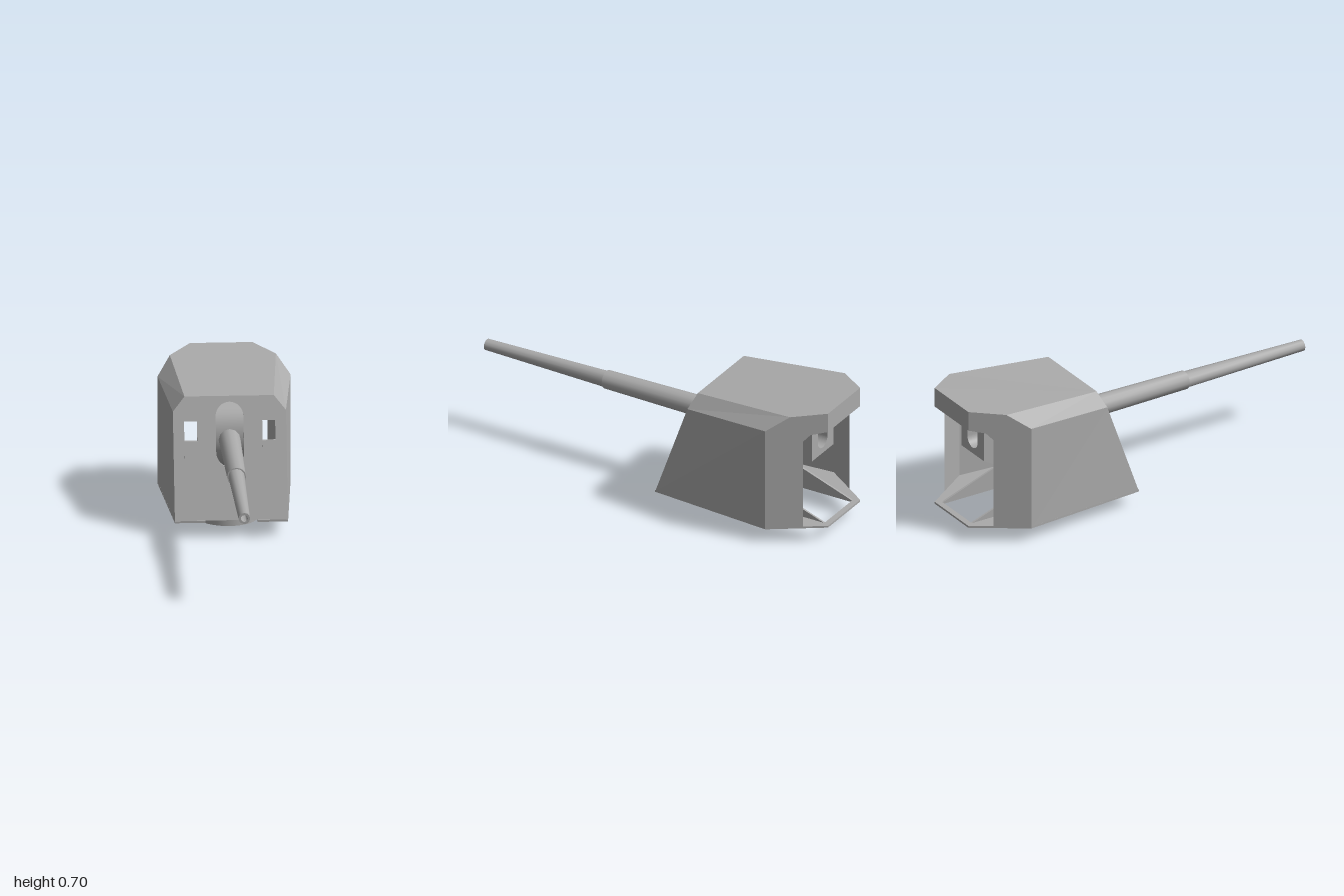
import * as THREE from 'three';
import { toCreasedNormals } from 'three/addons/utils/BufferGeometryUtils.js';

const steel = new THREE.MeshStandardMaterial({ color: 0xaaaaaa, side: THREE.DoubleSide });
steel.name = 'steel grey';

const frontZ = y => -0.105 - (y - 0.075) * 0.358; // sloped front plate
const cheekX = z => 0.32 + (z + 0.75) * 0.68;     // angled rear cheeks
const BORE_Y = 0.44;

const shapeOf = pts => new THREE.Shape(pts.map(p => new THREE.Vector2(p[0], p[1])));
const extrude = (shape, depth) =>
  new THREE.ExtrudeGeometry(shape, { depth, bevelEnabled: false, curveSegments: 16 });

// Move every vertex by a rule, then refresh the normals
function warp(geometry, rule) {
  const p = geometry.attributes.position;
  const v = new THREE.Vector3();
  for (let i = 0; i < p.count; i++) {
    rule(v.fromBufferAttribute(p, i));
    p.setXYZ(i, v.x, v.y, v.z);
  }
  geometry.computeVertexNormals();
  return geometry;
}

// Flat convex panel from its corners
function panel(corners) {
  const pos = [];
  for (let i = 1; i < corners.length - 1; i++) pos.push(...corners[0], ...corners[i], ...corners[i + 1]);
  const g = new THREE.BufferGeometry();
  g.setAttribute('position', new THREE.Float32BufferAttribute(pos, 3));
  g.computeVertexNormals();
  return g;
}

const lathe = (pts, sides) => toCreasedNormals(
  new THREE.LatheGeometry(pts.map(p => new THREE.Vector2(p[0], p[1])), sides), 0.6);

export function createModel() {
  const group = new THREE.Group();
  const add = (name, geometry, x = 0, y = 0, z = 0) => {
    const mesh = new THREE.Mesh(geometry, steel);
    mesh.name = name;
    mesh.position.set(x, y, z);
    group.add(mesh);
    return mesh;
  };

  // Front plate with a gun slot and two sight windows
  const front = shapeOf([
    [-0.272, 0.075], [-0.125, 0.075], [-0.125, 0.085], [0.125, 0.085], [0.125, 0.075], [0.272, 0.075],
    [0.272, 0.58], [0.215, 0.648], [-0.215, 0.648], [-0.272, 0.58]]);
  const slot = new THREE.Path();
  slot.absarc(0, 0.554, 0.067, 0, Math.PI, false);
  slot.absarc(0, 0.391, 0.067, Math.PI, Math.PI * 2, false);
  slot.closePath();
  front.holes.push(slot);
  for (const s of [-1, 1]) {
    front.holes.push(new THREE.Path([[0.157, 0.445], [0.219, 0.445], [0.219, 0.535], [0.157, 0.535]]
      .map(p => new THREE.Vector2(s * p[0], p[1]))));
  }
  add('frontPlate', warp(extrude(front, 0.01), v => { v.z += frontZ(v.y) - 0.01; }));

  // Roof and rear lintel
  add('roof', panel([
    [-0.215, 0.648, -0.31], [0.215, 0.648, -0.31], [0.255, 0.688, -0.85],
    [0.15, 0.7, -1], [-0.15, 0.7, -1], [-0.255, 0.688, -0.85]]));
  add('rearLintel', panel([[0.15, 0.6, -1], [-0.15, 0.6, -1], [-0.15, 0.7, -1], [0.15, 0.7, -1]]));

  for (const s of [-1, 1]) {
    const side = s > 0 ? 'left' : 'right';
    const mirrored = pts => {
      const q = pts.map(p => [s * p[0], p[1], p[2]]);
      return panel(s > 0 ? q : q.reverse());
    };
    add(side + 'Wall', mirrored([
      [0.272, 0.075, -0.105], [0.32, 0.075, -0.75], [0.32, 0.613, -0.75], [0.272, 0.58, -0.286]]));
    add(side + 'RoofChamfer', mirrored([
      [0.272, 0.58, -0.286], [0.32, 0.613, -0.75], [0.255, 0.688, -0.85], [0.215, 0.648, -0.31]]));

    // Rear cheek, cut back around the crew opening
    const cheek = new THREE.ShapeGeometry(shapeOf([
      [-0.75, 0.075], [-0.9, 0.075], [-0.9, 0.55], [-0.93, 0.585], [-1, 0.6],
      [-1, 0.7], [-0.85, 0.688], [-0.75, 0.613]]));
    add(side + 'RearCheek', warp(cheek, v => v.set(s * cheekX(v.x), v.y, v.x)));

    // Sliding window cover, lowered
    const cover = new THREE.BoxGeometry(0.062, 0.09, 0.006).translate(s * 0.188, 0.4, 0);
    add(side + 'WindowCover', warp(cover, v => { v.z += frontZ(v.y) + 0.001; }));

    // Triangular floor brace
    const brace = extrude(shapeOf([[-0.98, 0.08], [-0.6, 0.08], [-0.6, 0.215]]), 0.01);
    add(side + 'FloorBrace', warp(brace, v => v.set(s * (0.125 + v.z), v.y, v.x)));

    // Yoke arm carrying the gun
    const yoke = extrude(shapeOf([[-0.54, 0.2], [-0.34, 0.2], [-0.37, 0.47], [-0.51, 0.47]]), 0.02);
    add(side + 'YokeArm', warp(yoke, v => v.set(s * (0.1 + v.z), v.y, v.x)));
  }

  // U-shaped floor, open to the front
  const half = [[0.125, -0.97], [0.125, -0.105], [0.272, -0.105], [0.32, -0.75], [0.15, -1]];
  const floor = shapeOf([...half, ...half.map(p => [-p[0], p[1]]).reverse()]);
  add('floor', extrude(floor, 0.01).rotateX(Math.PI / 2), 0, 0.085, 0);

  // Hollow base ring and pedestal
  add('pedestal', lathe([
    [0, 0.06], [0.128, 0.06], [0.128, 0], [0.144, 0], [0.144, 0.1],
    [0.1, 0.12], [0.09, 0.22], [0.115, 0.22], [0.115, 0.25], [0, 0.25]], 32), 0, 0, -0.43);

  // Curved shield behind the slot
  add('mantlet', new THREE.CylinderGeometry(0.185, 0.185, 0.19, 24, 1, true, -1.2, 2.5)
    .rotateZ(Math.PI / 2), 0, 0.45, -0.45);

  // Cradle and notched breech with a sloping underside
  add('cradle', new THREE.BoxGeometry(0.2, 0.255, 0.33), 0, 0.4225, -0.565);
  const breech = new THREE.Shape();
  breech.moveTo(-0.1, 0.38);
  breech.lineTo(0.1, 0.38);
  breech.lineTo(0.1, 0.55);
  breech.lineTo(0.045, 0.55);
  breech.lineTo(0.045, 0.455);
  breech.absarc(0, 0.455, 0.045, 0, Math.PI, true);
  breech.lineTo(-0.045, 0.55);
  breech.lineTo(-0.1, 0.55);
  add('breech', warp(extrude(breech, 0.15), v => {
    if (v.y < 0.39 && v.z > 0.1) v.y = 0.295;
    v.z -= 0.88;
  }));

  // Stepped tapering barrel with a bore
  add('barrel', lathe([
    [0, -0.7], [0.053, -0.7], [0.053, -0.25], [0.046, 0.33], [0.04, 0.33],
    [0.028, 1], [0.017, 1], [0.017, 0.88], [0, 0.88]], 12).rotateX(Math.PI / 2), 0, BORE_Y, 0);

  return group;
}
